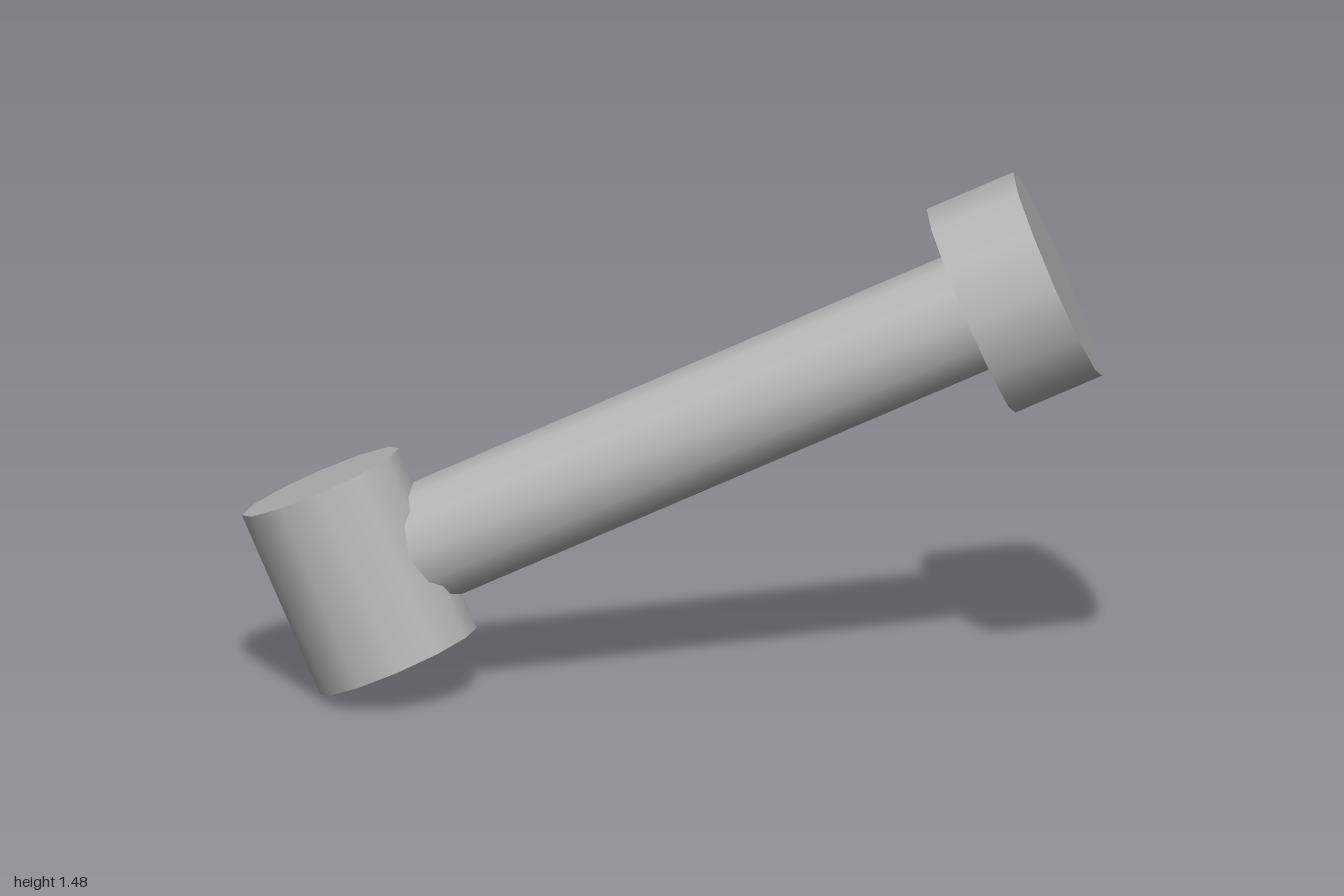
import * as THREE from 'three';

export function createModel() {
  const model = new THREE.Group();
  model.name = 'mallet';
  const grey = new THREE.MeshStandardMaterial({ color: 0xb4b4b4 });
  grey.name = 'plain grey';

  // Local frame: x runs along the shaft, y along the base drum
  const baseCentre = new THREE.Vector3(-0.673, 0.35, 0.643);
  const headCentre = new THREE.Vector3(0.68, 1.14, -0.595);
  const along = headCentre.clone().sub(baseCentre);
  const span = along.length();
  along.normalize();
  const side = along.clone().cross(new THREE.Vector3(-0.391, 0.909, 0.148)).normalize();
  const up = side.clone().cross(along);

  const body = new THREE.Group();
  body.name = 'body';
  body.quaternion.setFromRotationMatrix(new THREE.Matrix4().makeBasis(along, up, side));
  body.position.copy(baseCentre);
  model.add(body);

  // Twelve-sided drum, either upright or lying along the shaft
  function drum(name, radius, length, x, lying) {
    const geometry = new THREE.CylinderGeometry(radius, radius, length, 12);
    if (lying) geometry.rotateZ(-Math.PI / 2);
    const mesh = new THREE.Mesh(geometry, grey);
    mesh.name = name;
    mesh.position.x = x;
    body.add(mesh);
  }

  const headLength = 0.264;
  const shaftLength = span - headLength / 2;
  drum('baseDrum', 0.239, 0.551, 0, false);
  drum('shaft', 0.172, shaftLength, shaftLength / 2, true);
  drum('headDisc', 0.313, headLength, span, true);

  return model;
}
